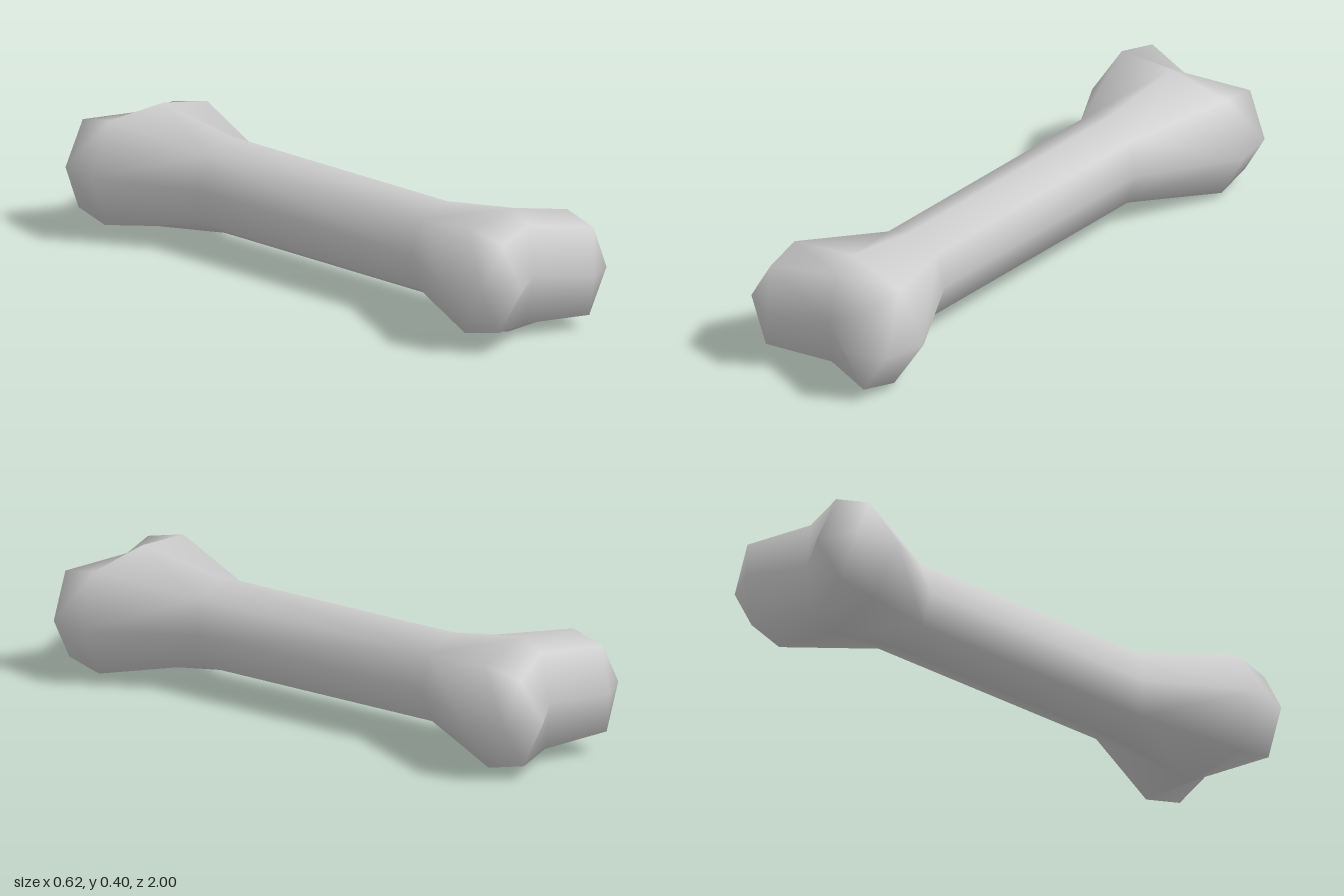
import * as THREE from 'three';
import { mergeVertices } from 'three/addons/utils/BufferGeometryUtils.js';

// Rings of the front half, given as a quarter: side, corner and top [x, y, z]
const quarterRings = [
  [[0.13, 0, 0.47], [0.1, 0.112, 0.48], [0, 0.158, 0.49]],     // end of the shaft
  [[0.308, 0, 0.79], [0.215, 0.17, 0.81], [0, 0.201, 0.79]],   // widest part of the knuckles
  [[0.277, 0, 0.935], [0.2, 0.143, 0.945], [0, 0.16, 0.86]],   // rounding towards the ends
  [[0.16, 0, 1], [0.16, 0, 1], [0, 0, 0.89]],                  // lobe tips and the notch between
];

// Mirror a quarter into a ring of eight points
function fullRing([side, corner, top], dir) {
  const p = ([x, y, z], sx, sy) => [x * sx, y * sy, z * dir];
  return [
    p(side, 1, 1), p(corner, 1, 1), p(top, 1, 1), p(corner, -1, 1),
    p(side, -1, 1), p(corner, -1, -1), p(top, 1, -1), p(corner, 1, -1),
  ];
}

function boneGeometry() {
  const rings = [
    ...[...quarterRings].reverse().map((q) => fullRing(q, -1)),
    ...quarterRings.map((q) => fullRing(q, 1)),
  ];
  const index = [];
  for (let i = 0; i < rings.length - 1; i++) {
    for (let k = 0; k < 8; k++) {
      const a = i * 8 + k, b = i * 8 + ((k + 1) % 8);
      const c = b + 8, d = a + 8;
      // Mirror the diagonals so that both ends and both sides match
      if ((k % 2 === 1) === (i >= 3)) index.push(a, b, c, a, c, d);
      else index.push(a, b, d, b, c, d);
    }
  }
  let geo = new THREE.BufferGeometry();
  geo.setAttribute('position', new THREE.Float32BufferAttribute(rings.flat(2), 3));
  geo.setIndex(index);
  geo = mergeVertices(geo, 1e-4);
  geo.computeVertexNormals();
  return geo;
}

export function createModel() {
  const group = new THREE.Group();
  group.name = 'bone';
  const boneGrey = new THREE.MeshStandardMaterial({ color: 0xcccccc });
  boneGrey.name = 'bone grey';

  // Shaft and knuckles in one smooth skin, lying with a slight roll
  const bone = new THREE.Mesh(boneGeometry(), boneGrey);
  bone.name = 'boneBody';
  bone.position.y = 0.203;
  bone.rotation.set(0, 0.006, -0.065);
  group.add(bone);
  return group;
}
